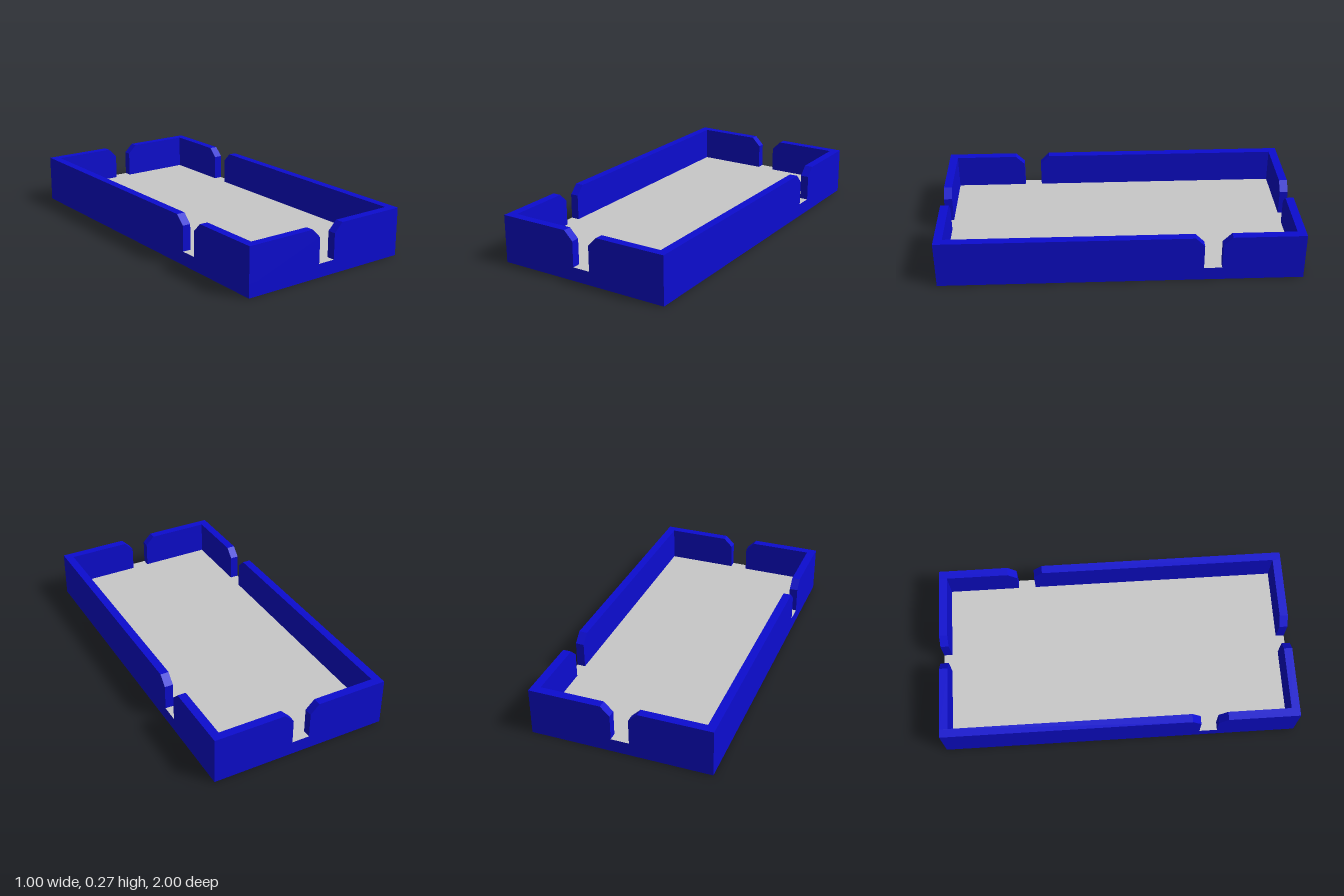
import * as THREE from 'three';

const BASE = 0.075, TOP = 0.267, WALL = 0.047;

// Upright wall along local x with one chamfered slot centred at slotX
function wallGeometry(length, slotX) {
  const h = length / 2, chamfer = 0.05, slot = 0.05;
  const extrude = (pts) => {
    const shape = new THREE.Shape(pts.map(([x, y]) => new THREE.Vector2(x, y)));
    return new THREE.ExtrudeGeometry(shape, { depth: WALL, bevelEnabled: false });
  };
  const lower = slotX - slot, upper = slotX + slot;
  return [
    extrude([[-h, BASE], [lower, BASE], [lower, TOP - chamfer], [lower - chamfer, TOP], [-h, TOP]]),
    extrude([[upper, BASE], [h, BASE], [h, TOP], [upper + chamfer, TOP], [upper, TOP - chamfer]]),
  ];
}

export function createModel() {
  const model = new THREE.Group();
  model.name = 'slottedTray';
  const blue = new THREE.MeshStandardMaterial({ color: 0x0c0cd0 });
  blue.name = 'blue';
  const grey = new THREE.MeshStandardMaterial({ color: 0xc8c8c8 });
  grey.name = 'lightGrey';

  // Base slab: grey floor on top, blue on every other side
  const base = new THREE.Mesh(new THREE.BoxGeometry(1, BASE, 2), [blue, blue, grey, blue, blue, blue]);
  base.name = 'base';
  base.position.y = BASE / 2;
  model.add(base);

  // Long side walls run full length; end walls fit between them
  const walls = [
    { name: 'frontWall', length: 1 - 2 * WALL, slot: 0, turn: 0, x: 0, z: 1 - WALL },
    { name: 'backWall', length: 1 - 2 * WALL, slot: 0, turn: 0, x: 0, z: -1 },
    { name: 'leftWall', length: 2, slot: 0.5, turn: Math.PI / 2, x: 0.5 - WALL, z: 0 },
    { name: 'rightWall', length: 2, slot: -0.5, turn: Math.PI / 2, x: -0.5, z: 0 },
  ];
  for (const w of walls) {
    const wall = new THREE.Group();
    wall.name = w.name;
    wallGeometry(w.length, w.slot).forEach((geometry, i) => {
      const part = new THREE.Mesh(geometry, blue);
      part.name = `${w.name}Section${i + 1}`;
      wall.add(part);
    });
    wall.rotation.y = w.turn;
    wall.position.set(w.x, 0, w.z);
    model.add(wall);
  }
  return model;
}
